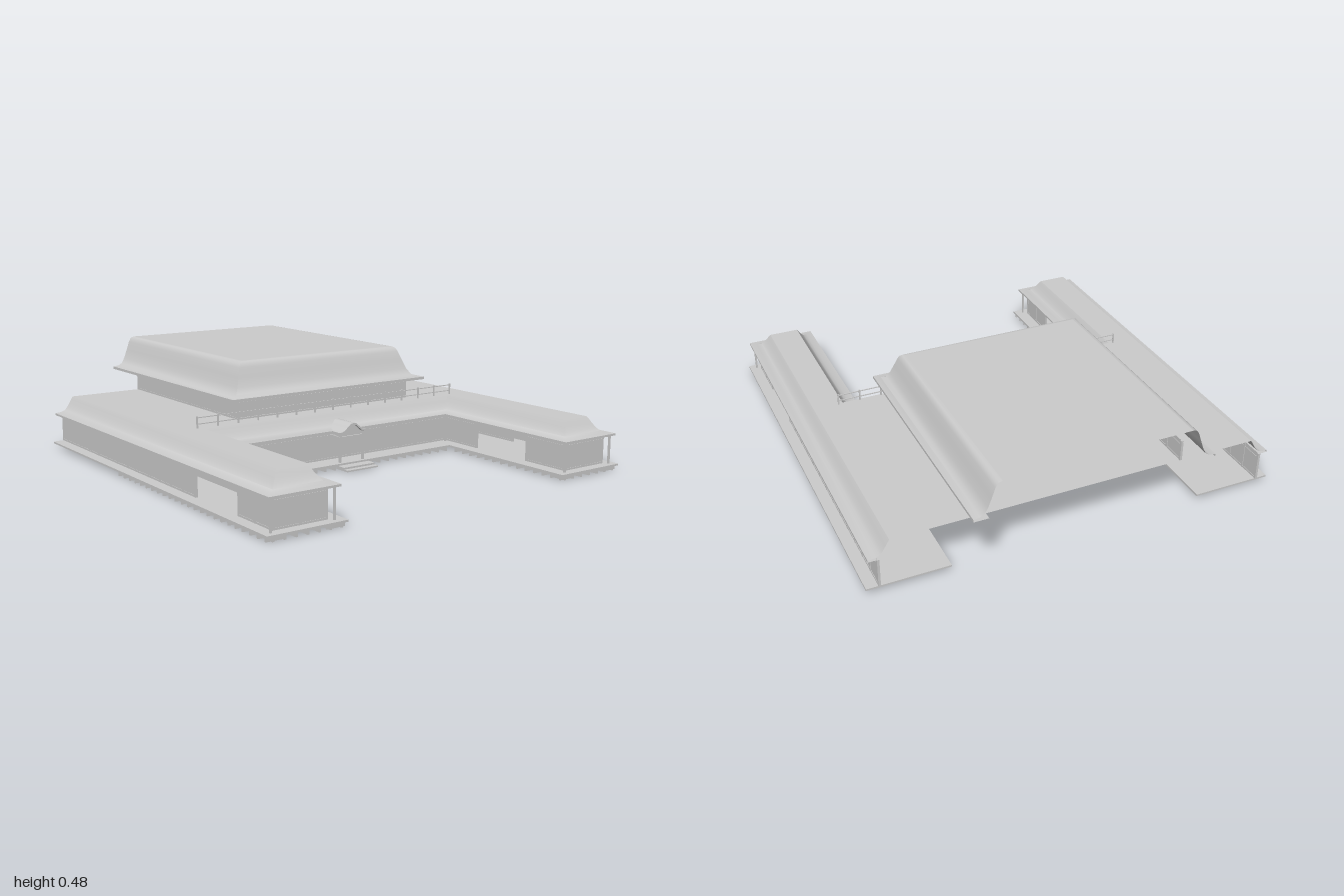
import * as THREE from 'three';
import { toCreasedNormals } from 'three/addons/utils/BufferGeometryUtils.js';

const mat = new THREE.MeshStandardMaterial({ color: 0xcccccc });
const thin = new THREE.MeshStandardMaterial({ color: 0xcccccc, side: THREE.DoubleSide });

// Wall lines in plan [x, z], running from back left round the front
const lowerPath = [
  [-0.865, -0.86], [-0.865, 0.95], [-0.63, 0.95], [-0.63, 0.195],
  [0.63, 0.195], [0.63, 0.95], [0.865, 0.95], [0.865, -0.86],
];
const upperPath = (back) => [[-0.465, back], [-0.465, 0.08], [0.465, 0.08], [0.465, back]];

// Roof profiles: [distance outward from the wall line, height]
const lowerProfile = [
  [-0.05, 0.235], [-0.042, 0.223], [-0.032, 0.205], [-0.02, 0.187], [-0.008, 0.173], [0.01, 0.166],
  [0.04, 0.163], [0.04, 0.154], [0, 0.154],
];
const upperProfile = [
  [-0.055, 0.48], [-0.042, 0.478], [-0.032, 0.47], [-0.024, 0.455], [-0.01, 0.415], [0.005, 0.375],
  [0.02, 0.35], [0.038, 0.34], [0.065, 0.337], [0.065, 0.325], [0, 0.325],
];

function createModel() {
  const model = new THREE.Group();

  const add = (geometry, name, material = mat, parent = model) => {
    const mesh = new THREE.Mesh(geometry, material);
    mesh.name = name;
    parent.add(mesh);
    return mesh;
  };
  // Box given by its limits
  const box = (name, x0, x1, y0, y1, z0, z1, parent) => {
    const m = add(new THREE.BoxGeometry(x1 - x0, y1 - y0, z1 - z0), name, mat, parent);
    m.position.set((x0 + x1) / 2, (y0 + y1) / 2, (z0 + z1) / 2);
    return m;
  };
  const group = (name) => {
    const g = new THREE.Group();
    g.name = name;
    model.add(g);
    return g;
  };

  // Outward normal of each path run, and the mitred offset of the whole path
  const normal = (a, b) => {
    const dx = b[0] - a[0], dz = b[1] - a[1], l = Math.hypot(dx, dz);
    return [-dz / l, dx / l];
  };
  const offset = (path, d) => path.map((p, i) => {
    const n1 = i > 0 ? normal(path[i - 1], p) : [0, 0];
    const n2 = i < path.length - 1 ? normal(p, path[i + 1]) : [0, 0];
    return [p[0] + d * (n1[0] + n2[0]), p[1] + d * (n1[1] + n2[1])];
  });

  // Sweep a profile along a path with mitred hips and valleys
  function sweep(path, profile, name) {
    const rings = profile.map(([d, y]) => offset(path, d).map(([x, z]) => [x, y, z]));
    const pos = [];
    for (let i = 0; i < path.length - 1; i++) {
      for (let j = 0; j < profile.length - 1; j++) {
        const a = rings[j][i], b = rings[j][i + 1], c = rings[j + 1][i + 1], d = rings[j + 1][i];
        pos.push(...a, ...d, ...c, ...a, ...c, ...b);
      }
    }
    const g = new THREE.BufferGeometry();
    g.setAttribute('position', new THREE.Float32BufferAttribute(pos, 3));
    return add(toCreasedNormals(g, 0.55), name, thin);
  }
  // Flat roof filling the inner edge of a swept slope
  function flatTop(path, d, y, name) {
    const shape = new THREE.Shape(offset(path, d).map(([x, z]) => new THREE.Vector2(x, -z)));
    const m = add(new THREE.ShapeGeometry(shape), name, thin);
    m.rotation.x = -Math.PI / 2;
    m.position.y = y;
  }

  // Roofs
  sweep(lowerPath, lowerProfile, 'lowerRoofSlope');
  flatTop(lowerPath, -0.05, 0.235, 'lowerRoofTop');
  sweep(upperPath(-1), upperProfile, 'upperRoofSlope');
  flatTop(upperPath(-1), -0.055, 0.48, 'upperRoofTop');

  // Walls: panel, posts, sill and lintel for each run, with passages through the wings
  const T = 0.004;
  function wallRun(a, b, y0, y1, parent, trim = true) {
    const x0 = Math.min(a[0], b[0]), x1 = Math.max(a[0], b[0]);
    const z0 = Math.min(a[1], b[1]), z1 = Math.max(a[1], b[1]);
    const strip = (name, t, lo, hi) => box(name, x0 - t, x1 + t, lo, hi, z0 - t, z1 + t, parent);
    strip('wallPanel', T / 2, y0, y1);
    if (!trim) return;
    strip('sill', T, y0, y0 + 0.008);
    strip('lintel', T, y1 - 0.025, y1 - 0.019);
    const n = Math.max(1, Math.round((x1 - x0 + z1 - z0) / 0.1));
    for (let i = 0; i <= n; i++) {
      const x = x0 + (x1 - x0) * i / n, z = z0 + (z1 - z0) * i / n;
      box('wallPost', x - 0.005, x + 0.005, y0, y1, z - 0.005, z + 0.005, parent);
    }
  }
  const lowerWalls = group('lowerWalls');
  for (let i = 0; i < lowerPath.length - 1; i++) {
    const a = lowerPath[i], b = lowerPath[i + 1];
    if (a[0] !== b[0]) {
      wallRun(a, b, 0.027, 0.157, lowerWalls);
    } else {
      const x = a[0], back = Math.min(a[1], b[1]);
      wallRun([x, 0.95], [x, 0.73], 0.027, 0.157, lowerWalls);
      wallRun([x, 0.41], [x, back], 0.027, 0.157, lowerWalls);
      wallRun([x, 0.73], [x, 0.41], 0.115, 0.157, lowerWalls, false);
    }
  }
  const upperWalls = group('upperWalls');
  const up = upperPath(-0.855);
  for (let i = 0; i < 3; i++) wallRun(up[i], up[i + 1], 0.235, 0.33, upperWalls);

  // Free-standing posts under the corners of the eaves
  const cornerPosts = group('eavePosts');
  for (const [x, z] of offset(lowerPath, 0.022).slice(1, -1)) {
    box('eavePost', x - 0.004, x + 0.004, 0.027, 0.157, z - 0.004, z + 0.004, cornerPosts);
  }

  // Decks with joists beneath
  box('mainDeck', -0.565, 0.565, 0.019, 0.027, 0.17, 0.295);
  const joists = group('joists');
  for (const s of [-1, 1]) {
    const span = (name, a, b, ...rest) => box(name, Math.min(s * a, s * b), Math.max(s * a, s * b), ...rest);
    span('wingDeck', 0.565, 0.92, 0.019, 0.027, -0.86, 1);
    for (let z = 0.98; z > -0.18; z -= 0.05) {
      span('joist', 0.83, 0.915, 0, 0.019, z - 0.004, z + 0.004, joists);
      if (z > 0.3) span('joist', 0.57, 0.65, 0, 0.019, z - 0.004, z + 0.004, joists);
    }
    for (let x = 0.59; x < 0.91; x += 0.05) {
      span('joist', x - 0.004, x + 0.004, 0, 0.019, 0.91, 0.995, joists);
    }
  }
  for (let x = -0.55; x < 0.56; x += 0.05) {
    box('joist', x - 0.004, x + 0.004, 0, 0.019, 0.2, 0.29, joists);
  }

  // Roof terrace railing
  const railing = group('railing');
  for (let i = 0; i <= 14; i++) {
    const x = -0.7 + i * 0.1;
    box('railingPost', x - 0.003, x + 0.003, 0.235, 0.286, 0.135, 0.141, railing);
  }
  for (const y of [0.253, 0.28]) box('rail', -0.702, 0.702, y - 0.002, y + 0.002, 0.136, 0.14, railing);

  // Entrance porch with an ogee roof
  const porch = group('porch');
  const half = [[0, 0.2], [0.015, 0.197], [0.03, 0.185], [0.045, 0.172], [0.06, 0.165], [0.075, 0.163]];
  const curve = [...half.slice(1).reverse().map(([x, y]) => [-x, y]), ...half];
  const extrude = (points, depth, z, name) => {
    const shape = new THREE.Shape(points.map(([x, y]) => new THREE.Vector2(x, y)));
    const g = new THREE.ExtrudeGeometry(shape, { depth, bevelEnabled: false });
    add(toCreasedNormals(g, 0.6), name, mat, porch).position.z = z;
  };
  const under = curve.map(([x, y]) => [x, y - 0.009]).reverse();
  extrude([...curve, ...under], 0.13, 0.16, 'porchRoof');
  extrude([[-0.065, 0.145], [0.065, 0.145], ...curve.slice(1, -1).map(([x, y]) => [x, y - 0.005]).reverse()],
    0.006, 0.272, 'gableBoard');
  for (const s of [-1, 1]) {
    box('porchPost', s * 0.062 - 0.005, s * 0.062 + 0.005, 0.027, 0.16, 0.27, 0.28, porch);
    box('porchSideBeam', s * 0.062 - 0.003, s * 0.062 + 0.003, 0.132, 0.142, 0.2, 0.28, porch);
  }
  box('porchBeam', -0.07, 0.07, 0.13, 0.142, 0.271, 0.279, porch);
  box('lowerStep', -0.085, 0.085, 0.003, 0.01, 0.28, 0.36, porch);
  box('upperStep', -0.085, 0.085, 0.01, 0.018, 0.28, 0.335, porch);

  return model;
}

export { createModel };
